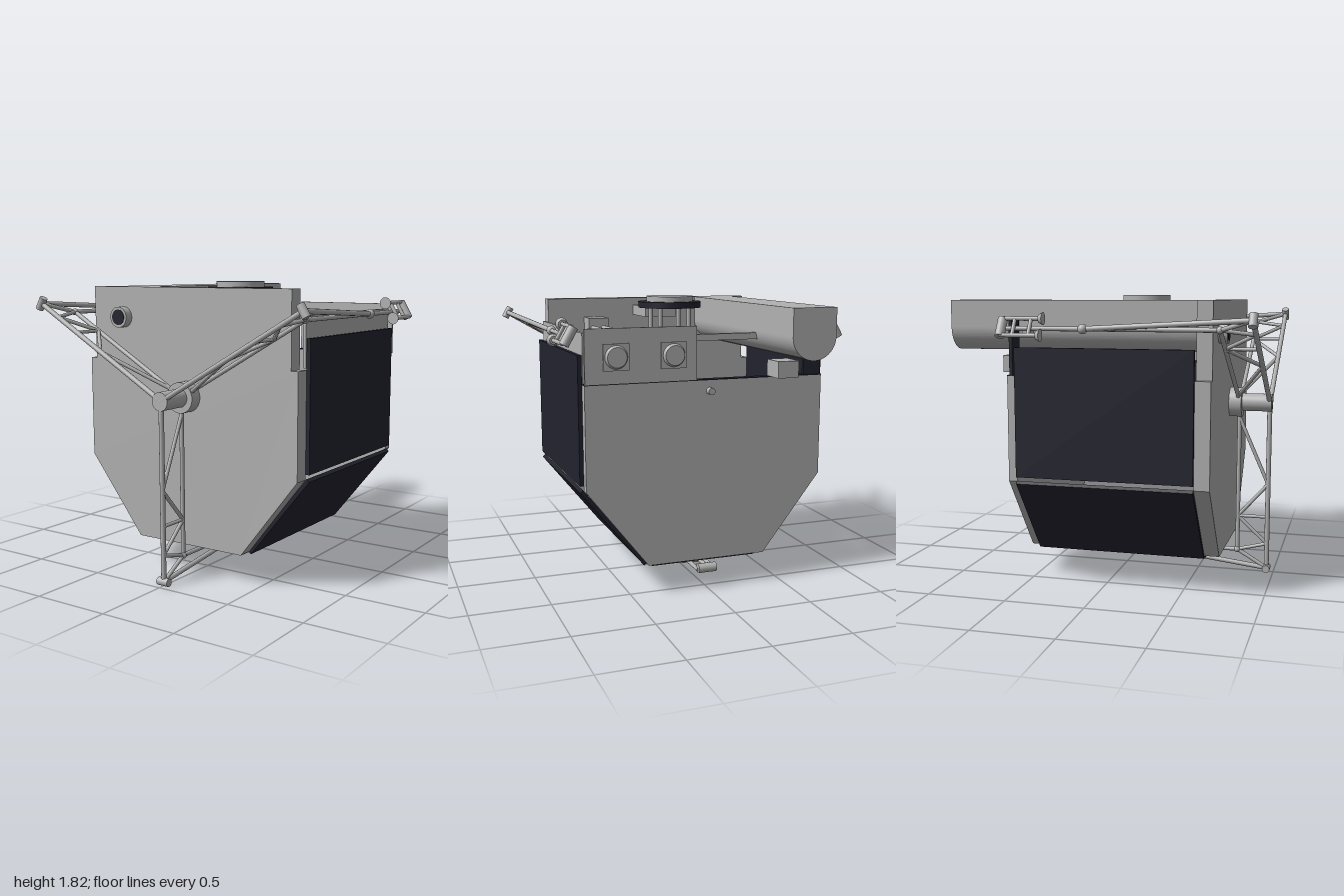
import * as THREE from 'three';

const grey = new THREE.MeshStandardMaterial({ color: 0xb2b2b2 });
grey.name = 'lightGrey';
const dark = new THREE.MeshStandardMaterial({ color: 0x232330 });
dark.name = 'darkNavy';

export function createModel() {
  const root = new THREE.Group();
  root.name = 'spacecraft';
  const V = (x, y, z) => new THREE.Vector3(x, y, z);

  const add = (name, geometry, material = grey, parent = root) => {
    const mesh = new THREE.Mesh(geometry, material);
    mesh.name = name;
    parent.add(mesh);
    return mesh;
  };
  // Box given by its limits on each axis
  const box = (name, x0, x1, y0, y1, z0, z1, material, parent) => {
    const mesh = add(name, new THREE.BoxGeometry(x1 - x0, y1 - y0, z1 - z0), material, parent);
    mesh.position.set((x0 + x1) / 2, (y0 + y1) / 2, (z0 + z1) / 2);
    return mesh;
  };
  // Round bar between two points
  const rod = (name, a, b, r, material, parent, r2 = r, sides = 20) => {
    const d = b.clone().sub(a);
    const mesh = add(name, new THREE.CylinderGeometry(r2, r, d.length(), sides), material, parent);
    mesh.position.copy(a).addScaledVector(d, 0.5);
    mesh.quaternion.setFromUnitVectors(V(0, 1, 0), d.normalize());
    return mesh;
  };
  const ball = (name, p, r, parent) => {
    const mesh = add(name, new THREE.SphereGeometry(r, 16, 12), grey, parent);
    mesh.position.copy(p);
    return mesh;
  };
  // Symmetric plate outline extruded along z
  const plate = (name, half, z0, z1) => {
    const left = half.map(([x, y]) => [-x, y]).reverse();
    const shape = new THREE.Shape([...half, ...left].map(([x, y]) => new THREE.Vector2(x, y)));
    const geometry = new THREE.ExtrudeGeometry(shape, { depth: z1 - z0, bevelEnabled: false });
    geometry.translate(0, 0, z0);
    return add(name, geometry);
  };

  // End plates
  plate('frontPlate', [[0.39, 0.19], [0.78, 0.69], [0.78, 1.33], [0.735, 1.33], [0.735, 1.79]], 0.605, 0.7);
  plate('backPlate', [[0.39, 0.19], [0.78, 0.69], [0.78, 1.335]], -0.545, -0.49);
  box('backPlateTop', -0.78, 0.78, 1.335, 1.341, -0.545, -0.49, dark);

  // Solar panels around the sides and bottom
  box('bottomPanel', -0.35, 0.35, 0.165, 0.19, -0.49, 0.605, dark);
  for (const s of [-1, 1]) {
    const side = box('sidePanel', 0.78, 0.805, 0.72, 1.51, -0.49, 0.605, dark);
    side.position.x *= s;
    const slant = add('slantedPanel', new THREE.BoxGeometry(0.025, 0.645, 1.095), dark);
    slant.position.set(s * 0.593, 0.434, 0.0575);
    slant.rotation.z = -s * Math.atan2(0.4, 0.5);
  }
  box('upperSideWall', 0.755, 0.775, 1.34, 1.64, -0.49, 0.605);
  box('darkBackShield', -0.78, -0.66, 1.34, 1.68, -0.53, -0.51, dark);

  // Telescope: flat-topped box with a round underside
  const tube = new THREE.Shape();
  tube.moveTo(0.142, 1.79);
  tube.lineTo(-0.142, 1.79);
  tube.lineTo(-0.142, 1.622);
  tube.absarc(0, 1.622, 0.142, Math.PI, Math.PI * 2, false);
  tube.closePath();
  const tubeMesh = add('telescopeTube', new THREE.ExtrudeGeometry(tube, { depth: 1.575, bevelEnabled: false, curveSegments: 24 }));
  tubeMesh.position.set(-0.497, 0, -0.97);
  box('telescopeMount', -0.56, -0.42, 1.34, 1.445, -0.66, -0.5);

  // Top antenna with arm and legs
  rod('antennaRing', V(0.01, 1.745, 0.13), V(0.01, 1.785, 0.13), 0.21, dark, root, 0.21, 48);
  rod('antennaDisc', V(0.01, 1.785, 0.13), V(0.01, 1.82, 0.13), 0.155, grey, root, 0.155, 48);
  box('antennaArm', -0.1, 0.12, 1.67, 1.74, 0.315, 0.605);
  for (const x of [-0.09, 0.11]) for (const z of [0.03, 0.23]) {
    rod('antennaLeg', V(x, 1.25, z), V(x, 1.745, z), 0.015);
  }

  // Inner support frame
  box('crossBeam', -0.73, 0.73, 1.57, 1.61, -0.465, -0.425);
  for (const x of [0.375, 0.45]) rod('longRail', V(x, 1.59, -0.43), V(x, 1.59, 0.48), 0.018);
  rod('shortRail', V(0.7, 1.59, -0.43), V(0.7, 1.59, 0.06), 0.025);
  box('railBlock', 0.34, 0.48, 1.52, 1.66, 0.47, 0.605);

  // Sensor plate on the back
  box('sensorPlate', 0.08, 0.78, 1.34, 1.67, -0.56, -0.543);
  for (const x of [0.23, 0.59]) {
    box('sensorBase', x - 0.08, x + 0.08, 1.42, 1.58, -0.57, -0.56);
    rod('sensorHead', V(x, 1.5, -0.57), V(x, 1.5, -0.592), 0.07, grey, root, 0.06, 32);
  }
  rod('backStud', V(-0.01, 1.27, -0.54), V(-0.01, 1.27, -0.59), 0.022);

  // Front sensor barrel
  rod('frontBarrel', V(-0.495, 1.6, 0.69), V(-0.495, 1.6, 0.755), 0.065, grey, root, 0.065, 32);
  rod('frontLens', V(-0.495, 1.6, 0.755), V(-0.495, 1.6, 0.758), 0.048, dark, root, 0.048, 32);

  // Hub carrying the booms
  rod('hubBase', V(0, 1.13, 0.7), V(0, 1.13, 0.78), 0.095, grey, root, 0.095, 40);
  rod('hubPost', V(0, 1.13, 0.78), V(0, 1.13, 0.97), 0.057, grey, root, 0.057, 40);

  // Three identical booms; each runs down from the hub in its own frame
  const struts = [
    [0, 0.955, -1.105, 0.955, 0.016], [0, 0.76, -0.99, 0.76, 0.014],
    [-1.105, 0.955, -0.99, 0.76, 0.013], [-1.105, 0.955, -0.99, -0.04, 0.016],
    [-0.99, 0.76, -0.99, -0.54, 0.014], [-0.76, 0.955, -0.76, 0.76, 0.011],
    [-0.54, 0.955, -0.1, 0.76, 0.012], [-0.54, 0.955, -0.76, 0.76, 0.012],
    [-0.94, 0.955, -0.76, 0.76, 0.012], [-0.94, 0.955, -0.99, 0.76, 0.012],
  ];
  for (let i = 0; i < 3; i++) {
    const boom = new THREE.Group();
    boom.name = 'boom';
    boom.position.y = 1.13;
    boom.rotation.z = (i * Math.PI * 2) / 3;
    root.add(boom);
    for (const [y0, z0, y1, z1, r] of struts) {
      rod('boomStrut', V(0, y0, z0), V(0, y1, z1), r, grey, boom, r, 12);
    }
    rod('boomTip', V(-0.04, -1.105, 0.955), V(0.04, -1.105, 0.955), 0.025, grey, boom);
    ball('boomElbow', V(0, -0.99, 0.76), 0.022, boom);
    ball('boomJoint', V(0, -0.99, -0.04), 0.03, boom);
    // Thruster cluster at the far end
    rod('boomCap', V(-0.06, -1, -0.54), V(0.06, -1, -0.54), 0.03, grey, boom);
    for (const x of [-0.055, 0.055]) {
      rod('thrusterRod', V(x, -1.01, -0.54), V(x, -1.01, -0.3), 0.013, grey, boom);
      rod('thrusterDisc', V(x, -1.01, -0.31), V(x, -1.01, -0.285), 0.025, grey, boom, 0.038);
    }
    for (const z of [-0.36, -0.46]) {
      rod('thrusterBar', V(-0.055, -1.01, z), V(0.055, -1.01, z), 0.012, grey, boom);
    }
  }
  return root;
}
